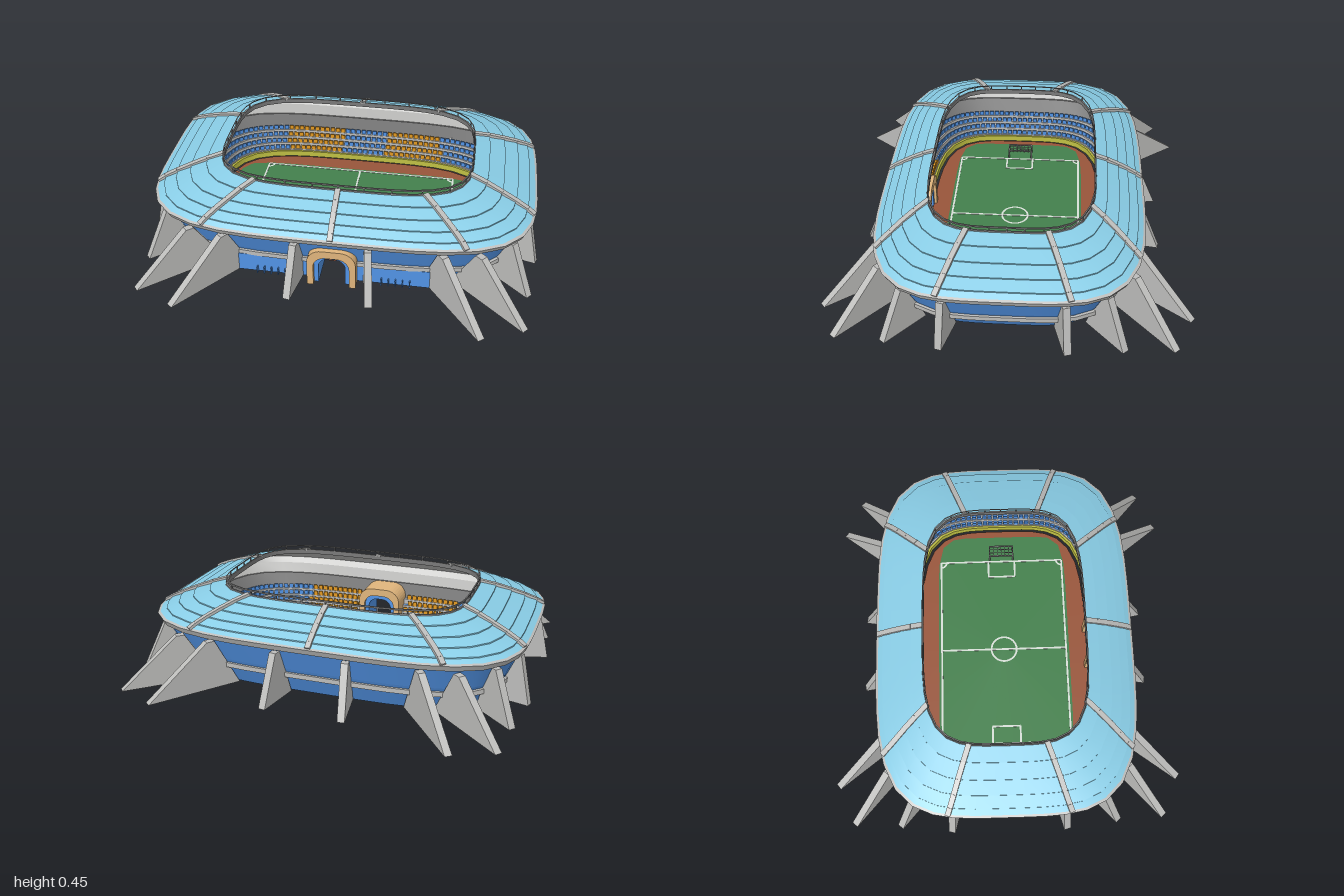
import * as THREE from 'three';
import { mergeGeometries } from 'three/addons/utils/BufferGeometryUtils.js';

const material = (name, color) =>
  new THREE.MeshStandardMaterial({ name, color, side: THREE.DoubleSide });
const M = {
  roof: material('sky blue roof', 0x89cde6),
  blue: material('wall blue', 0x5294e6),
  grey: material('concrete grey', 0xbdbdbb),
  dark: material('dark grey', 0x7c7c7c),
  green: material('grass green', 0x43804c),
  track: material('track brown', 0x98553a),
  yellow: material('barrier yellow', 0xbcbc42),
  tan: material('gateway tan', 0xe0b57c),
  orange: material('seat orange', 0xe39a22),
  white: material('line white', 0xd8dfd8),
};
const SEG = 48;
const V = (x, y, z) => new THREE.Vector3(x, y, z);

// Point on a rounded (superelliptic) outline with half sizes a and b
function outline([a, b, y, n = 4], angle) {
  const c = Math.cos(angle), s = Math.sin(angle);
  const r = Math.pow(Math.abs(c) ** n + Math.abs(s) ** n, -1 / n);
  return V(a * c * r, y, b * s * r);
}

function add(group, name, geometry, mat) {
  const mesh = new THREE.Mesh(geometry, mat);
  mesh.name = name;
  group.add(mesh);
  return mesh;
}

// Closed loft through outlines, creased between bands; gate leaves a gap at the front
function ring(profile, gate = false) {
  const bands = [];
  for (let k = 0; k < profile.length - 1; k++) {
    const pos = [], index = [];
    for (let i = 0; i < SEG; i++) {
      const t = (i / SEG) * Math.PI * 2;
      pos.push(...outline(profile[k], t).toArray(), ...outline(profile[k + 1], t).toArray());
      if (gate && (i === 11 || i === 12) && profile[k + 1][2] < 0.145) continue;
      const a = 2 * i, b = 2 * ((i + 1) % SEG);
      index.push(a, a + 1, b + 1, a, b + 1, b);
    }
    const g = new THREE.BufferGeometry();
    g.setAttribute('position', new THREE.Float32BufferAttribute(pos, 3));
    g.setIndex(index);
    g.computeVertexNormals();
    bands.push(g);
  }
  return mergeGeometries(bands);
}

// Straight bar from one point to another
function beam(from, to, w, h = w) {
  const o = new THREE.Object3D();
  o.position.copy(from).lerp(to, 0.5);
  o.lookAt(to);
  o.updateMatrix();
  return new THREE.BoxGeometry(w, h, from.distanceTo(to)).applyMatrix4(o.matrix);
}

// Open-bottomed arch between two round-cornered outlines, each [half width, height, radius]
function arch(outer, inner, z0, z1) {
  const half = ([w, h, r]) => {
    const pts = [new THREE.Vector2(-w, 0)];
    for (let i = 0; i <= 8; i++) {
      const t = Math.PI - (i / 8) * Math.PI / 2;
      pts.push(new THREE.Vector2(-w + r + r * Math.cos(t), h - r + r * Math.sin(t)));
    }
    return pts.concat(pts.map(p => new THREE.Vector2(-p.x, p.y)).reverse());
  };
  const shape = new THREE.Shape([...half(outer), ...half(inner).reverse()]);
  const g = new THREE.ExtrudeGeometry(shape, { depth: z1 - z0, bevelEnabled: false });
  return g.translate(0, 0, z0);
}

function buildShell(group) {
  // Leaning outer wall, belt and eaves
  add(group, 'outerWall', ring([[0.815, 0.52, 0], [0.89, 0.585, 0.14], [0.945, 0.635, 0.27]], true), M.blue);
  add(group, 'wallBelt', ring([[0.86, 0.555, 0.098], [0.893, 0.589, 0.098], [0.893, 0.589, 0.122], [0.875, 0.572, 0.122]], true), M.grey);
  add(group, 'eaves', ring([[0.93, 0.62, 0.262], [0.96, 0.658, 0.266], [0.972, 0.672, 0.296], [0.96, 0.66, 0.302]]), M.grey);
  for (const s of [-1, 1]) {
    add(group, 'frontPanel', new THREE.BoxGeometry(0.37, 0.1, 0.04).translate(s * 0.3, 0.05, 0.56), M.blue);
    for (let i = 0; i < 5; i++)
      add(group, 'turnstile', new THREE.BoxGeometry(0.005, 0.035, 0.02).translate(s * (0.24 + 0.035 * i), 0.0175, 0.59), M.blue);
  }

  // Stepped, domed roof with lining, ribs and railing
  const roof = [[0.965, 0.665, 0.297], [0.93, 0.635, 0.318], [0.87, 0.59, 0.345],
    [0.8, 0.54, 0.372], [0.72, 0.48, 0.4], [0.635, 0.415, 0.423]];
  const stepped = roof.flatMap(([a, b, y], k) => k % 5 ? [[a, b, y - 0.003], [a, b, y + 0.003]] : [[a, b, y]]);
  add(group, 'roof', ring(stepped), M.roof);
  const lining = roof.slice(1).reverse().map(([a, b, y]) => [a, b, y - 0.016]);
  add(group, 'roofLining', ring([...lining, [0.925, 0.615, 0.27], [0.895, 0.6, 0.215]]), M.grey);
  add(group, 'innerWall', ring([[0.895, 0.6, 0.215], [0.885, 0.592, 0.215], [0.85, 0.578, 0.13]]), M.dark);
  add(group, 'openingRim', ring([[0.643, 0.423, 0.422], [0.641, 0.421, 0.428], [0.633, 0.413, 0.428], [0.634, 0.414, 0.402]]), M.dark);
  const ribs = [];
  for (const deg of [25, 55, 90, 125, 155, 205, 235, 270, 305, 335]) {
    const t = THREE.MathUtils.degToRad(deg);
    const path = roof.map(([a, b, y]) => outline([a, b, y + 0.005], t));
    for (let k = 0; k < path.length - 1; k++) ribs.push(beam(path[k], path[k + 1], 0.027, 0.014));
  }
  add(group, 'roofRibs', mergeGeometries(ribs), M.grey);
  add(group, 'railing', ring([[0.64, 0.42, 0.444], [0.64, 0.42, 0.452], [0.634, 0.414, 0.452]]), M.dark);
  const posts = [];
  for (let i = 0; i < 32; i++) {
    const p = outline([0.637, 0.417, 0.42], (i / 32) * Math.PI * 2);
    posts.push(beam(p, V(p.x, 0.447, p.z), 0.006));
  }
  add(group, 'railingPosts', mergeGeometries(posts), M.dark);
}

function buildButtresses(group) {
  // Each row: wall foot, wall top and outer foot, as x and z
  const plans = [
    [0.16, 0.53, 0.175, 0.64, 0.2, 0.765],
    [0.445, 0.51, 0.533, 0.626, 0.74, 0.895],
    [0.585, 0.49, 0.71, 0.601, 0.94, 0.805],
    [0.765, 0.395, 0.852, 0.472, 0.958, 0.567],
    [0.81, 0.25, 0.925, 0.281, 0.995, 0.3],
  ];
  for (const [qx, qz, tx, tz, px, pz] of plans) {
    const reach = Math.hypot(px - qx, pz - qz), top = Math.hypot(tx - qx, tz - qz);
    const shape = new THREE.Shape([[0, 0], [reach, 0], [top + 0.02, 0.25], [top - 0.02, 0.25]]
      .map(p => new THREE.Vector2(...p)));
    for (const sx of [-1, 1]) for (const sz of [-1, 1]) {
      const g = new THREE.ExtrudeGeometry(shape, { depth: 0.036, bevelEnabled: false }).translate(0, 0, -0.018);
      const mesh = add(group, 'buttress', g, M.grey);
      mesh.position.set(sx * qx, 0, sz * qz);
      mesh.rotation.y = -Math.atan2(sz * (pz - qz), sx * (px - qx));
    }
  }
}

function buildStands(group) {
  add(group, 'barrier', ring([[0.742, 0.472, 0], [0.744, 0.474, 0.032], [0.755, 0.485, 0.032]], true), M.yellow);
  const steps = [[0.755, 0.485, 0.03]], blue = [], orange = [];
  for (let row = 0; row < 4; row++) {
    const a = 0.755 + 0.023 * row, b = 0.485 + 0.023 * row, y = 0.04 + 0.03 * row;
    steps.push([a, b, y], [a + 0.023, b + 0.023, y]);
    // Seats spaced evenly along the row
    let last = null;
    for (let i = 0; i < 3000; i++) {
      const t = (i / 3000) * Math.PI * 2, line = [a + 0.012, b + 0.012, y];
      const p = outline(line, t);
      if (last && p.distanceTo(last) < 0.03) continue;
      last = p;
      if (p.z > 0 && Math.abs(p.x) < 0.135) continue;
      const d = outline(line, t + 0.001).sub(p);
      const seat = mergeGeometries([
        new THREE.BoxGeometry(0.024, 0.01, 0.018).translate(0, 0.005, 0.002),
        new THREE.BoxGeometry(0.024, 0.025, 0.005).translate(0, 0.0125, -0.007),
      ]).rotateY(Math.atan2(d.z, -d.x)).translate(p.x, p.y, p.z);
      const x = Math.abs(p.x);
      (x > 0.13 && x < 0.45 ? orange : blue).push(seat);
    }
  }
  add(group, 'standSteps', ring(steps, true), M.grey);
  add(group, 'blueSeats', mergeGeometries(blue), M.blue);
  add(group, 'orangeSeats', mergeGeometries(orange), M.orange);
}

function buildField(group) {
  add(group, 'runningTrack', ring([[0.728, 0.458, 0.007], [0.69, 0.362, 0.008, 8]]), M.track);
  add(group, 'pitch', ring([[0.69, 0.362, 0.008, 8], [0.001, 0.001, 0.008, 8]]), M.green);

  // Pitch markings
  const y = 0.0105, lines = [];
  const path = (...pts) => pts.slice(1).forEach((p, i) =>
    lines.push(beam(V(pts[i][0], y, pts[i][1]), V(p[0], y, p[1]), 0.01, 0.002)));
  const arc = (x, z, r, start, length) => lines.push(
    new THREE.RingGeometry(r - 0.005, r + 0.005, 32, 1, start, length).rotateX(-Math.PI / 2).translate(x, y + 0.001, z));
  path([-0.535, -0.345], [0.535, -0.345], [0.535, 0.345], [-0.535, 0.345], [-0.535, -0.345]);
  path([0, -0.345], [0, 0.345]);
  arc(0, 0, 0.07, 0, Math.PI * 2);
  for (const s of [-1, 1]) path([s * 0.535, -0.075], [s * 0.44, -0.075], [s * 0.44, 0.075], [s * 0.535, 0.075]);
  [[-1, 1, 0], [1, 1, 1], [1, -1, 2], [-1, -1, 3]].forEach(([sx, sz, q]) =>
    arc(sx * 0.535, sz * 0.345, 0.03, q * Math.PI / 2, Math.PI / 2));
  add(group, 'pitchLines', mergeGeometries(lines), M.white);

  // Goals with coarse nets
  for (const s of [-1, 1]) {
    const bars = [], x0 = s * 0.548, x1 = s * 0.608, h = 0.06;
    for (let i = 0; i <= 6; i++) {
      const z = -0.066 + 0.022 * i, w = i % 6 ? 0.003 : 0.007;
      bars.push(beam(V(x0, h, z), V(x1, h, z), w), beam(V(x1, 0.01, z), V(x1, h, z), w));
    }
    for (let i = 0; i <= 3; i++) {
      const x = x0 + (x1 - x0) * i / 3;
      bars.push(beam(V(x, h, -0.066), V(x, h, 0.066), i % 3 ? 0.003 : 0.007));
    }
    for (const z of [-0.066, 0.066]) bars.push(beam(V(x0, 0.01, z), V(x0, h, z), 0.007));
    add(group, 'goal', mergeGeometries(bars), M.dark);
  }
}

export function createModel() {
  const model = new THREE.Group();
  model.name = 'stadium';
  const parts = { shell: buildShell, buttresses: buildButtresses, stands: buildStands, field: buildField };
  for (const [name, build] of Object.entries(parts)) {
    const group = new THREE.Group();
    group.name = name;
    build(group);
    model.add(group);
  }
  // Entrance tunnel
  add(model, 'gateway', arch([0.12, 0.213, 0.075], [0.088, 0.172, 0.06], 0.44, 0.64), M.tan);
  add(model, 'gatewayLining', arch([0.088, 0.172, 0.06], [0.066, 0.148, 0.05], 0.455, 0.615), M.blue);
  return model;
}
